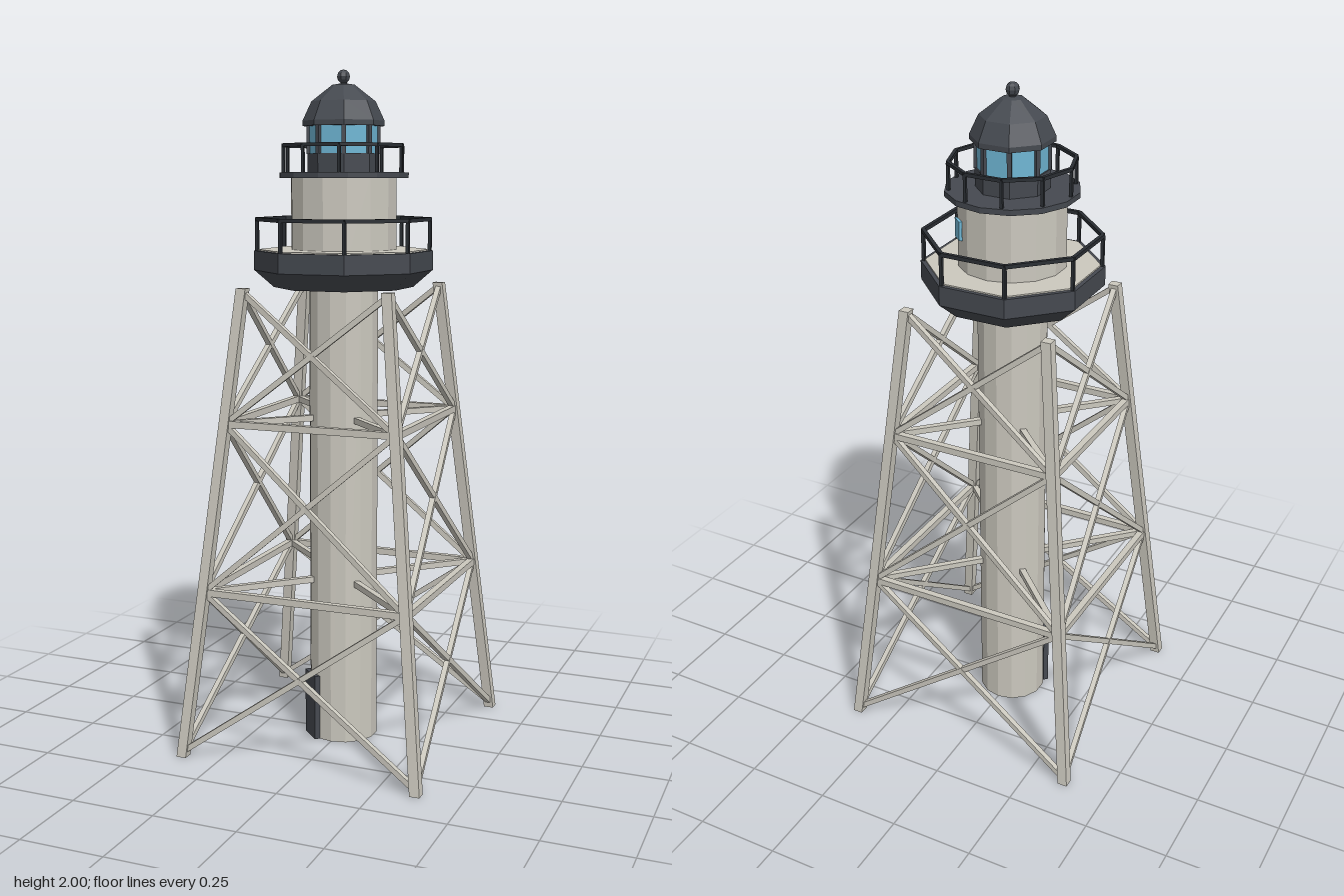
import * as THREE from 'three';

const mat = (name, color) => {
  const m = new THREE.MeshStandardMaterial({ color });
  m.name = name;
  return m;
};

export function createModel() {
  const root = new THREE.Group();
  root.name = 'lighthouse';
  const light = mat('pale paint', 0xcbc8be);
  const dark = mat('slate', 0x454950);
  const black = mat('black iron', 0x2a2e33);
  const glass = mat('blue glass', 0x6fb6d4);

  // Faceted mesh helper
  function add(name, geo, material, parent = root) {
    const g = geo.index ? geo.toNonIndexed() : geo;
    g.computeVertexNormals();
    const mesh = new THREE.Mesh(g, material);
    mesh.name = name;
    parent.add(mesh);
    return mesh;
  }
  // Upright prism between two heights; offset turns the first corner away from +z
  function prism(name, r0, r1, y0, y1, sides, material, offset = 0) {
    const g = new THREE.CylinderGeometry(r1, r0, y1 - y0, sides, 1, false, offset);
    return add(name, g.translate(0, (y0 + y1) / 2, 0), material);
  }
  // Square bar between two points
  function beam(name, a, b, t, material, parent) {
    const m = add(name, new THREE.BoxGeometry(t, t, a.distanceTo(b)), material, parent);
    m.position.copy(a).lerp(b, 0.5);
    m.lookAt(b);
    return m;
  }
  const V = (x, y, z) => new THREE.Vector3(x, y, z);
  const oct = Math.PI / 8;
  const octR = 1 / Math.cos(oct); // flat distance to corner radius

  // Column and watch room
  prism('column', 0.103, 0.103, 0, 1.4, 14, light);
  prism('watchRoom', 0.156, 0.156, 1.46, 1.695, 14, light);

  // Open lattice frame
  const frame = new THREE.Group();
  frame.name = 'frame';
  root.add(frame);
  const topY = 1.38;
  const legAt = (y) => 0.365 - 0.143 * (y / topY);
  const corners = [[1, 1], [1, -1], [-1, -1], [-1, 1]];
  const at = ([sx, sz], y) => V(sx * legAt(y), y, sz * legAt(y));
  corners.forEach((c, i) => {
    // Leg: a box sheared so that its ends stay level
    const g = new THREE.BoxGeometry(0.03, topY, 0.03).translate(0, topY / 2, 0);
    const p = g.attributes.position;
    for (let k = 0; k < p.count; k++) {
      const o = legAt(p.getY(k));
      p.setX(k, p.getX(k) + c[0] * o);
      p.setZ(k, p.getZ(k) + c[1] * o);
    }
    add('leg', g, light, frame);

    const n = corners[(i + 1) % 4];
    for (const y of [0.495, 0.99]) {
      beam('girt', at(c, y), at(n, y), 0.02, light, frame);
      beam('radialStrut', at(c, y), V(c[0] * 0.065, y, c[1] * 0.065), 0.018, light, frame);
    }
    for (const [y0, y1] of [[0.015, 0.495], [0.495, 0.99], [0.99, 1.37]]) {
      beam('crossBrace', at(c, y0), at(n, y1), 0.016, light, frame);
      beam('crossBrace', at(n, y0), at(c, y1), 0.016, light, frame);
    }
  });

  // Main gallery: flared base, rim and pale floor
  prism('galleryFlare', 0.19 * octR, 0.243 * octR, 1.375, 1.425, 8, dark, oct);
  prism('galleryRim', 0.243 * octR, 0.243 * octR, 1.425, 1.482, 8, dark, oct);
  prism('galleryFloor', 0.231 * octR, 0.231 * octR, 1.478, 1.486, 8, light, oct);

  // Railing: posts at the corners and a top rail
  function railing(name, r, sides, offset, y0, y1, t) {
    const g = new THREE.Group();
    g.name = name;
    root.add(g);
    const pt = (i, y) => {
      const a = offset + (i / sides) * Math.PI * 2;
      return V(r * Math.sin(a), y, r * Math.cos(a));
    };
    for (let i = 0; i < sides; i++) {
      beam('post', pt(i, y0), pt(i, y1), t * 0.85, black, g);
      beam('rail', pt(i, y1), pt(i + 1, y1), t, black, g);
    }
  }
  railing('galleryRailing', 0.234 * octR, 8, oct, 1.48, 1.573, 0.011);

  // Lantern gallery
  prism('lanternDeck', 0.191, 0.191, 1.692, 1.708, 14, dark);
  railing('lanternRailing', 0.178, 10, Math.PI / 10, 1.7, 1.785, 0.01);

  // Lantern room: base wall, glazing and corner mullions
  prism('lanternBase', 0.097 * octR, 0.097 * octR, 1.705, 1.762, 8, dark, oct);
  prism('lanternGlass', 0.093 * octR, 0.093 * octR, 1.762, 1.845, 8, glass, oct);
  for (let i = 0; i < 8; i++) {
    const a = oct + i * Math.PI / 4;
    const r = 0.093 * octR;
    const m = add('mullion', new THREE.BoxGeometry(0.013, 0.085, 0.013), dark);
    m.position.set(r * Math.sin(a), 1.803, r * Math.cos(a));
    m.rotation.y = a;
  }

  // Domed roof and finial
  const dome = [[0, 1.84], [0.11, 1.84], [0.11, 1.855], [0.086, 1.91], [0.03, 1.957], [0, 1.962]]
    .map(([r, y]) => new THREE.Vector2(r * octR, y));
  add('roof', new THREE.LatheGeometry(dome, 8, oct), dark);
  prism('finialNeck', 0.01, 0.01, 1.95, 1.975, 8, dark);
  add('finialBall', new THREE.SphereGeometry(0.02, 8, 6).translate(0, 1.98, 0), dark);

  // Door and window on opposite diagonals
  const door = add('door', new THREE.BoxGeometry(0.078, 0.2, 0.016), dark);
  door.position.set(-0.0725, 0.1, 0.0725);
  door.rotation.y = -Math.PI / 4;
  const win = add('window', new THREE.BoxGeometry(0.042, 0.055, 0.009), glass);
  win.position.set(0.111, 1.602, -0.111);
  win.rotation.y = Math.PI * 0.75;

  return root;
}
